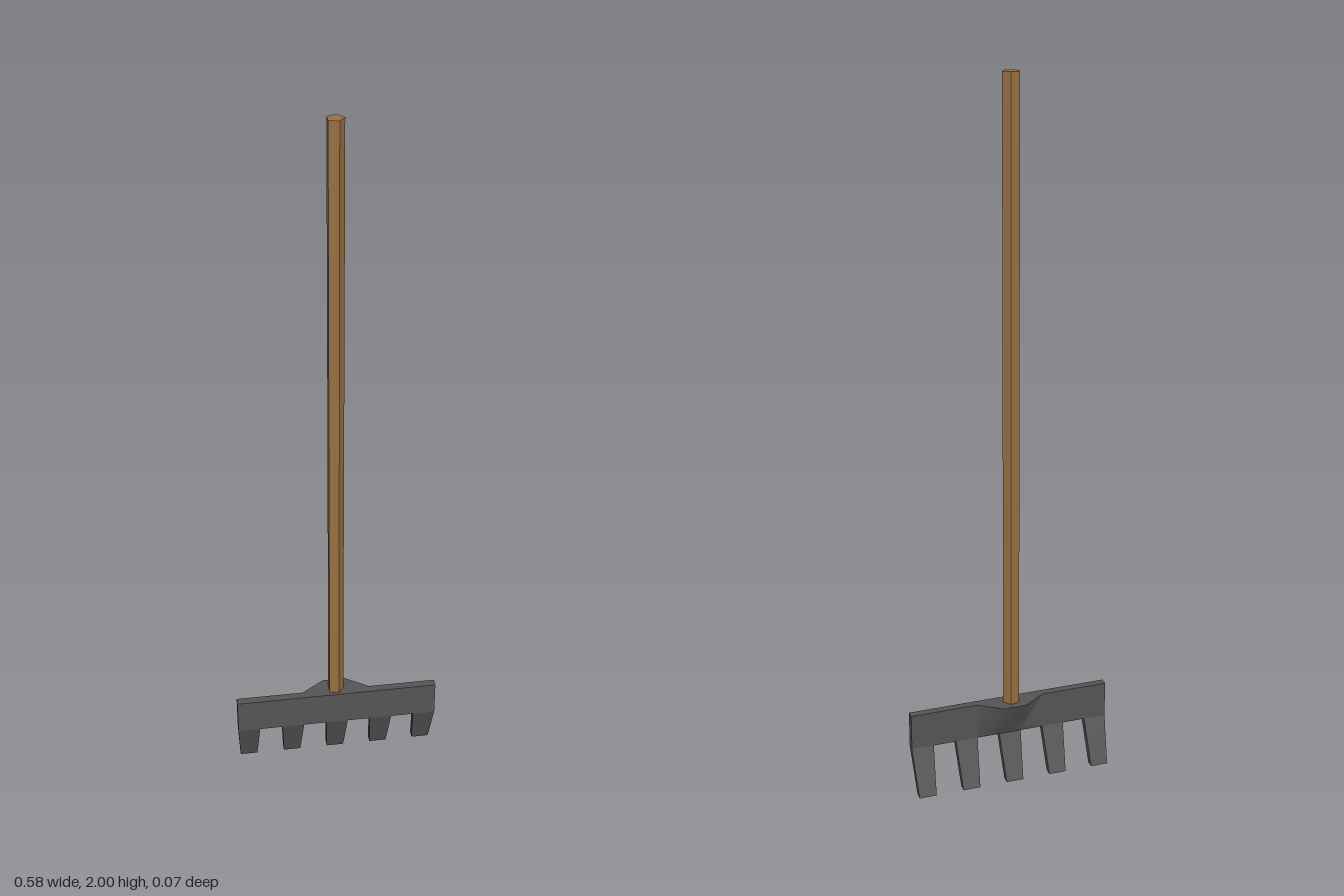
import * as THREE from 'three';

const metal = new THREE.MeshStandardMaterial({ color: 0x555555, flatShading: true });
const smoothMetal = new THREE.MeshStandardMaterial({ color: 0x555555 });
const wood = new THREE.MeshStandardMaterial({ color: 0x9a7045, flatShading: true });

const FRONT = 0.033, BACK = 0.01;      // z faces of the head plate
const LOW = 0.135, HIGH = 0.24;        // y extent of the head plate
const SLANT = 0.045;                   // how far the tines sweep backwards

function add(parent, name, geometry, material) {
  const mesh = new THREE.Mesh(geometry, material);
  mesh.name = name;
  parent.add(mesh);
  return mesh;
}

// Tapered block whose lower end is swept backwards
function tineGeometry() {
  const g = new THREE.BoxGeometry(0.064, LOW, FRONT - BACK);
  const p = g.attributes.position;
  for (let i = 0; i < p.count; i++) {
    if (p.getY(i) < 0) {
      p.setX(i, p.getX(i) * 0.78);
      p.setZ(i, p.getZ(i) - SLANT);
    }
  }
  g.computeVertexNormals();
  return g;
}

// Socket behind the plate: a faceted bulge narrowing down to the plate's lower edge
const outline = [[0.098, BACK], [0.033, -0.035], [-0.033, -0.035], [-0.098, BACK]];

function socketBackGeometry() {
  const pos = [], idx = [];
  for (const [x, z] of outline) pos.push(x, HIGH, z, x, LOW, BACK);
  for (let i = 0; i < outline.length - 1; i++) {
    const a = i * 2;
    idx.push(a, a + 2, a + 1, a + 1, a + 2, a + 3);
  }
  const g = new THREE.BufferGeometry();
  g.setAttribute('position', new THREE.Float32BufferAttribute(pos, 3));
  g.setIndex(idx);
  g.computeVertexNormals();
  return g;
}

function socketTopGeometry() {
  const shape = new THREE.Shape(outline.map(([x, z]) => new THREE.Vector2(x, -z)));
  return new THREE.ShapeGeometry(shape).rotateX(-Math.PI / 2).translate(0, HIGH, 0);
}

export function createModel() {
  const rake = new THREE.Group();
  rake.name = 'rake';

  // Five-sided wooden handle, one corner pointing to +x
  const handleBase = 0.22;
  const handle = add(rake, 'handle',
    new THREE.CylinderGeometry(0.0235, 0.0235, 2 - handleBase, 5, 1, false, Math.PI / 2), wood);
  handle.position.set(-0.001, (2 + handleBase) / 2, 0.004);

  // Head: plate, socket and tines
  const head = new THREE.Group();
  head.name = 'head';
  rake.add(head);

  const plate = add(head, 'headPlate',
    new THREE.BoxGeometry(0.584, HIGH - LOW, FRONT - BACK), metal);
  plate.position.set(0, (HIGH + LOW) / 2, (FRONT + BACK) / 2);

  const socketBack = smoothMetal.clone();
  socketBack.side = THREE.DoubleSide;
  add(head, 'socketBack', socketBackGeometry(), socketBack);
  add(head, 'socketTop', socketTopGeometry(), metal);

  const tine = tineGeometry();
  for (let i = -2; i <= 2; i++) {
    add(head, 'tine', tine, metal).position.set(i * 0.13, LOW / 2, (FRONT + BACK) / 2);
  }
  return rake;
}
